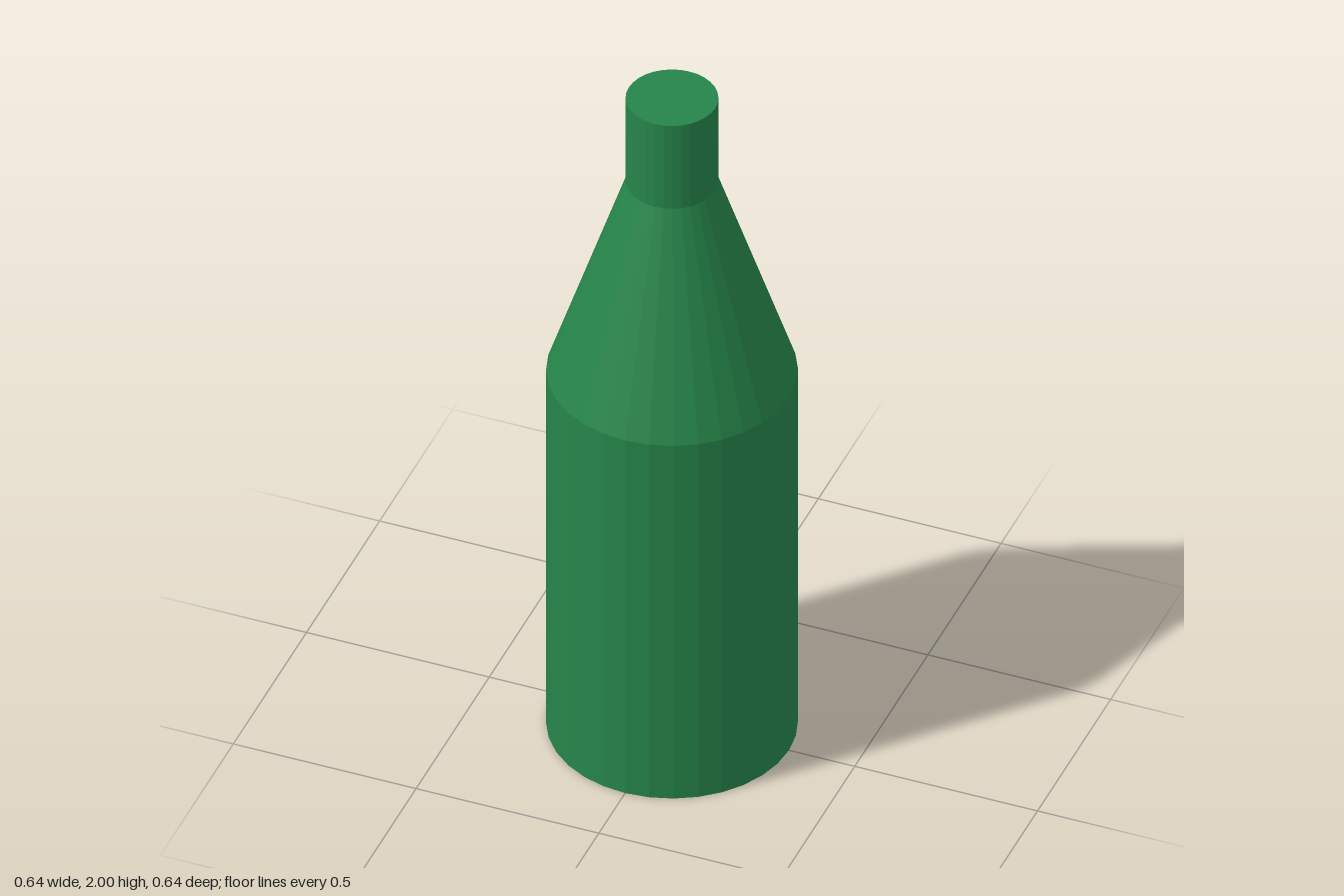
import * as THREE from 'three';

export function createModel() {
  const bottle = new THREE.Group();
  bottle.name = 'bottle';

  const greenGlass = new THREE.MeshStandardMaterial({ color: 0x26854a, flatShading: true });
  greenGlass.name = 'greenGlass';

  const SIDES = 32;
  const BODY_R = 0.32, NECK_R = 0.118;

  // One stacked section; only the outermost ends of the bottle are capped
  function addSection(name, rBottom, rTop, y0, y1, capBottom, capTop) {
    const geo = new THREE.CylinderGeometry(rTop, rBottom, y1 - y0, SIDES, 1, true);
    const section = new THREE.Group();
    section.name = name;
    const wall = new THREE.Mesh(geo, greenGlass);
    wall.name = name + 'Wall';
    wall.position.y = (y0 + y1) / 2;
    section.add(wall);
    const addCap = (label, r, y, turn) => {
      // Start angle lines the cap's corners up with the wall's
      const cap = new THREE.Mesh(new THREE.CircleGeometry(r, SIDES), greenGlass);
      cap.name = label;
      cap.rotation.x = turn;
      cap.position.y = y;
      section.add(cap);
    };
    if (capBottom) addCap('base', rBottom, y0, Math.PI / 2);
    if (capTop) addCap('mouth', rTop, y1, -Math.PI / 2);
    bottle.add(section);
  }

  addSection('body', BODY_R, BODY_R, 0, 1.13, true, false);
  addSection('shoulder', BODY_R, NECK_R, 1.13, 1.735, false, false);
  addSection('neck', NECK_R, NECK_R, 1.735, 2, false, true);

  return bottle;
}
